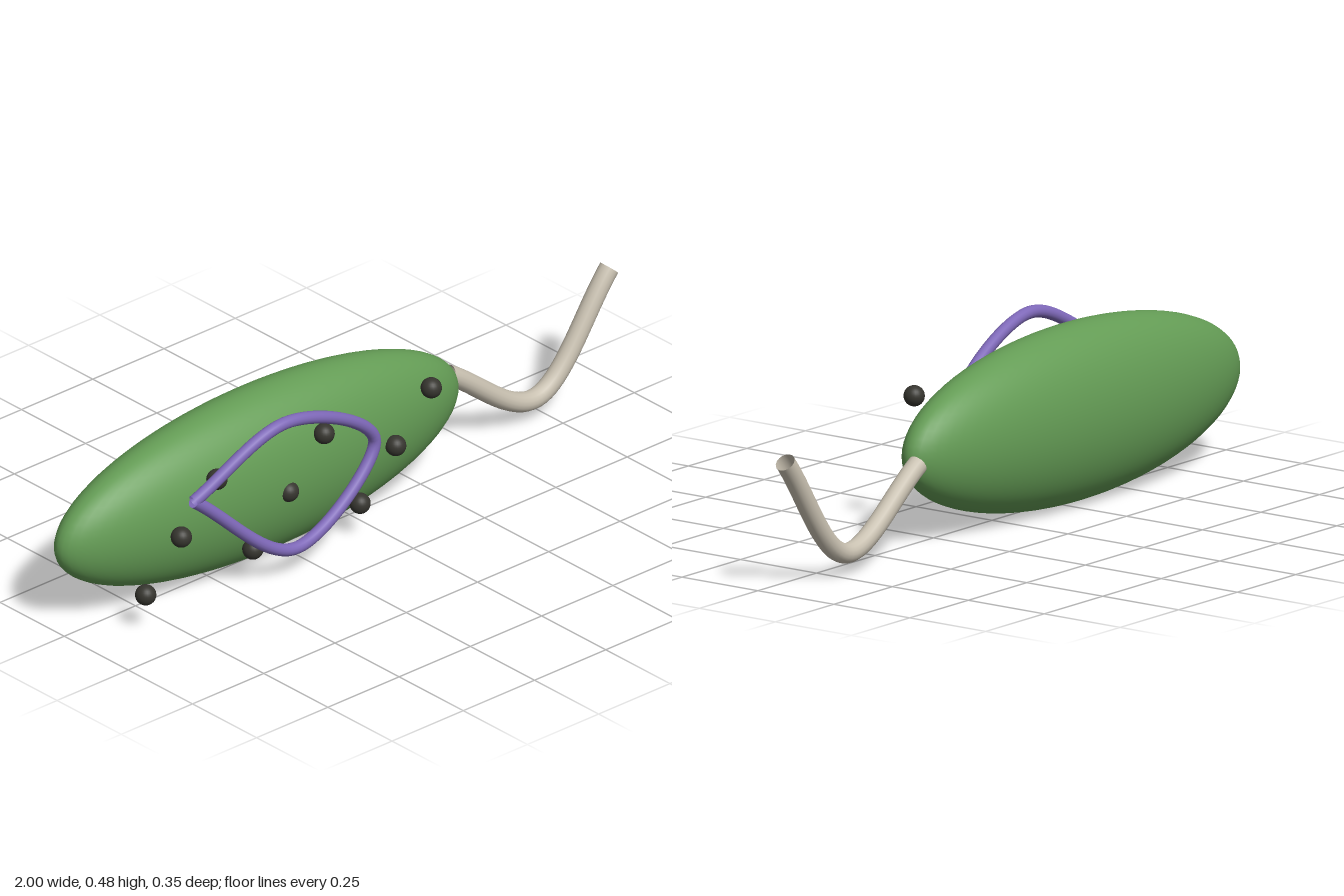
import * as THREE from 'three';

const mat = (name, color, side = THREE.FrontSide) => {
  const m = new THREE.MeshStandardMaterial({ color, side });
  m.name = name;
  return m;
};

export function createModel() {
  const model = new THREE.Group();
  const green = mat('green', 0x649c55);
  const charcoal = mat('charcoal', 0x36352f);
  const purple = mat('purple', 0x7e68b8, THREE.DoubleSide);
  const bone = mat('bone', 0xc8c0b0, THREE.DoubleSide);

  const add = (name, geometry, material) => {
    const mesh = new THREE.Mesh(geometry, material);
    mesh.name = name;
    model.add(mesh);
    return mesh;
  };

  // Smooth open-ended tube through a few points
  const tube = (points, radius, segments) => new THREE.TubeGeometry(
    new THREE.CatmullRomCurve3(points.map(p => new THREE.Vector3(...p))),
    segments, radius, 16, false);

  // Flattened egg-shaped body
  const body = add('body', new THREE.SphereGeometry(1, 64, 40), green);
  body.scale.set(0.698, 0.238, 0.147);
  body.position.set(-0.302, 0.24, -0.027);

  // Three slanted rows of round spots on the front
  const spot = new THREE.SphereGeometry(0.028, 24, 16);
  for (let row = 0; row < 3; row++) {
    for (let col = 0; col < 3; col++) {
      add('spot', spot, charcoal).position.set(
        -0.815 + row * 0.125 + col * 0.376, 0.103 + row * 0.126, 0.112);
    }
  }

  // Leaf-shaped loop, pointed at one end
  add('loop', tube([
    [-0.665, 0.333, 0.133], [-0.36, 0.468, 0.157], [-0.03, 0.285, 0.133],
    [-0.325, 0.084, 0.157], [-0.665, 0.333, 0.133],
  ], 0.017, 96), purple);

  // Bent tail
  add('tail', tube([
    [0.41, 0.24, -0.072], [0.72, 0.06, -0.072], [0.977, 0.352, -0.072],
  ], 0.027, 48), bone);

  return model;
}
